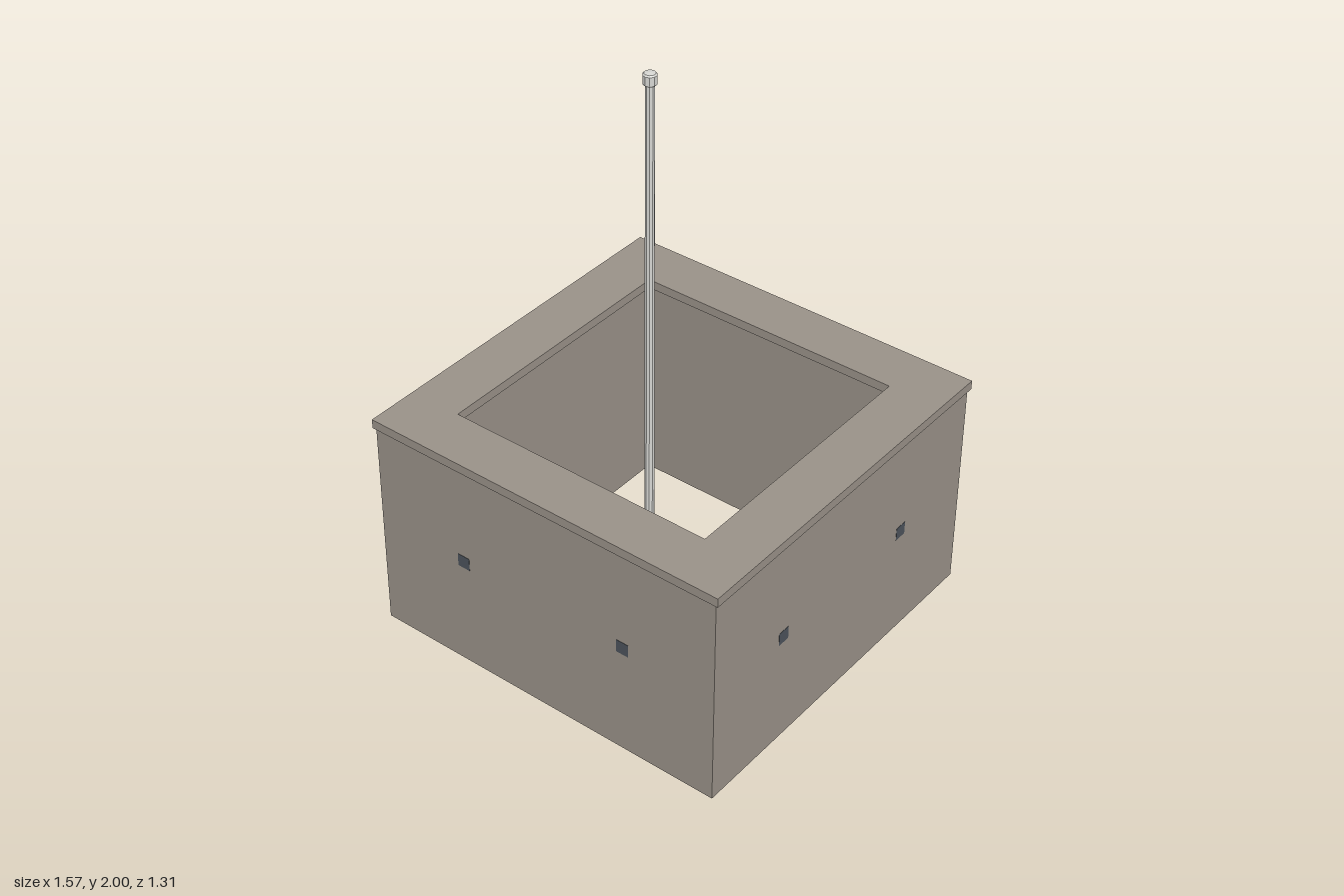
import * as THREE from 'three';

const stone = new THREE.MeshStandardMaterial({ color: 0x9a9289, side: THREE.DoubleSide });
stone.name = 'stone';
const dark = new THREE.MeshStandardMaterial({ color: 0x4c535b });
dark.name = 'dark opening';
const metal = new THREE.MeshStandardMaterial({ color: 0xd6d6d2, flatShading: true });
metal.name = 'pole metal';

const CX = 0.1185; // centre of the enclosure in x
const HX = 0.6525, HZ = 0.65; // half sizes of the outer walls
const WALL_TOP = 0.76, TOP = 0.792, THICK = 0.165;

function add(parent, name, geometry, material, x = 0, y = 0, z = 0) {
  const mesh = new THREE.Mesh(geometry, material);
  mesh.name = name;
  mesh.position.set(x, y, z);
  parent.add(mesh);
  return mesh;
}

function box(parent, name, material, w, h, d, x, y, z) {
  return add(parent, name, new THREE.BoxGeometry(w, h, d), material, x, y, z);
}

// Upright sheet, facing the given direction (angle about y)
function sheet(parent, name, w, h, x, y, z, angle) {
  const mesh = add(parent, name, new THREE.PlaneGeometry(w, h), stone, x, y, z);
  mesh.rotation.y = angle;
}

function rectPath(Type, hx, hz) {
  return new Type().moveTo(-hx, -hz).lineTo(hx, -hz).lineTo(hx, hz).lineTo(-hx, hz).closePath();
}

export function createModel() {
  const model = new THREE.Group();
  model.name = 'walledEnclosure';

  // Hollow walls, open underneath: outer and inner sheets
  const walls = new THREE.Group();
  walls.name = 'walls';
  model.add(walls);
  const mid = WALL_TOP / 2, ix = HX - THICK, iz = HZ - THICK;
  for (const s of [1, -1]) {
    const faceZ = s > 0 ? 0 : Math.PI;
    sheet(walls, 'outerWall', HX * 2, WALL_TOP, CX, mid, s * HZ, faceZ);
    sheet(walls, 'outerSideWall', HZ * 2, WALL_TOP, CX + s * HX, mid, 0, s * Math.PI / 2);
    // The inner sheet runs on through the hollow wall on the door side
    sheet(walls, 'innerWall', ix * 2 + THICK, WALL_TOP, CX - THICK / 2, mid, s * iz, Math.PI - faceZ);
    sheet(walls, 'innerSideWall', iz * 2, WALL_TOP, CX + s * ix, mid, 0, -s * Math.PI / 2);
  }

  // Flat coping that overhangs both faces of the walls
  const ring = rectPath(THREE.Shape, HX + 0.01, HZ + 0.006);
  ring.holes.push(rectPath(THREE.Path, 0.476, 0.472));
  const coping = new THREE.ExtrudeGeometry(ring, { depth: TOP - WALL_TOP, bevelEnabled: false });
  coping.rotateX(-Math.PI / 2);
  add(model, 'coping', coping, stone, CX, WALL_TOP, 0);

  // Small square windows
  const windows = new THREE.Group();
  windows.name = 'windows';
  model.add(windows);
  const W = 0.046, T = 0.002, WY = 0.405;
  for (const s of [1, -1]) {
    for (const side of [1, -1]) {
      box(windows, 'window', dark, W, W, T, CX + s * 0.3125, WY, side * HZ);
    }
    box(windows, 'window', dark, T, W, W, CX + HX, WY, s * 0.31);
  }
  box(windows, 'window', dark, T, W, W, CX - HX, WY, -0.27);

  // Doorway with lintel
  const DZ = 0.18, STAIR_TOP = 0.162;
  box(model, 'door', dark, T, 0.26, 0.12, CX - HX, STAIR_TOP + 0.13, DZ);
  box(model, 'lintel', stone, 0.02, 0.038, 0.18, CX - HX, 0.444, DZ);

  // Stairs, a row of blocks open underneath: treads, full-height risers and stepped cheeks
  const stairs = new THREE.Group();
  stairs.name = 'stairs';
  model.add(stairs);
  const STEPS = 6, X0 = -0.785, run = (CX - HX - X0) / STEPS, rise = STAIR_TOP / STEPS, width = 0.16;
  const cheek = new THREE.Shape().moveTo(X0, 0);
  for (let i = 0; i < STEPS; i++) {
    const x = X0 + i * run, y = (i + 1) * rise;
    cheek.lineTo(x, y).lineTo(x + run, y);
    sheet(stairs, 'riser', width, y, x, y / 2, DZ, -Math.PI / 2);
    const tread = new THREE.PlaneGeometry(run, width).rotateX(-Math.PI / 2);
    add(stairs, 'tread', tread, stone, x + run / 2, y, DZ);
  }
  cheek.lineTo(CX - HX, 0).closePath();
  for (const s of [1, -1]) {
    add(stairs, 'cheek', new THREE.ShapeGeometry(cheek), stone, 0, 0, DZ + s * width / 2);
  }

  // Pole on a tapered square block that is open underneath
  const pole = new THREE.Group();
  pole.name = 'pole';
  pole.position.set(0.118, 0, 0.127);
  model.add(pole);
  const base = new THREE.Group();
  base.name = 'poleBase';
  base.rotation.y = Math.PI / 4;
  pole.add(base);
  const BASE_Y = 0.095, BASE_H = 0.065, rTop = 0.048 * Math.SQRT2, rBottom = 0.058 * Math.SQRT2;
  const sides = new THREE.CylinderGeometry(rTop, rBottom, BASE_H, 4, 1, true).toNonIndexed();
  sides.computeVertexNormals();
  add(base, 'baseSides', sides, stone, 0, BASE_Y + BASE_H / 2, 0);
  const top = new THREE.CircleGeometry(rTop, 4).rotateX(-Math.PI / 2);
  add(base, 'baseTop', top, stone, 0, BASE_Y + BASE_H, 0);

  add(pole, 'shaft', new THREE.CylinderGeometry(0.0145, 0.0165, 1.805, 10), metal, 0, 1.0625, 0);
  const finial = [[0, 1.96], [0.019, 1.96], [0.022, 1.965], [0.022, 1.992], [0.018, 1.997], [0, 2]]
    .map(([r, y]) => new THREE.Vector2(r, y));
  add(pole, 'finial', new THREE.LatheGeometry(finial, 10), metal);

  return model;
}
